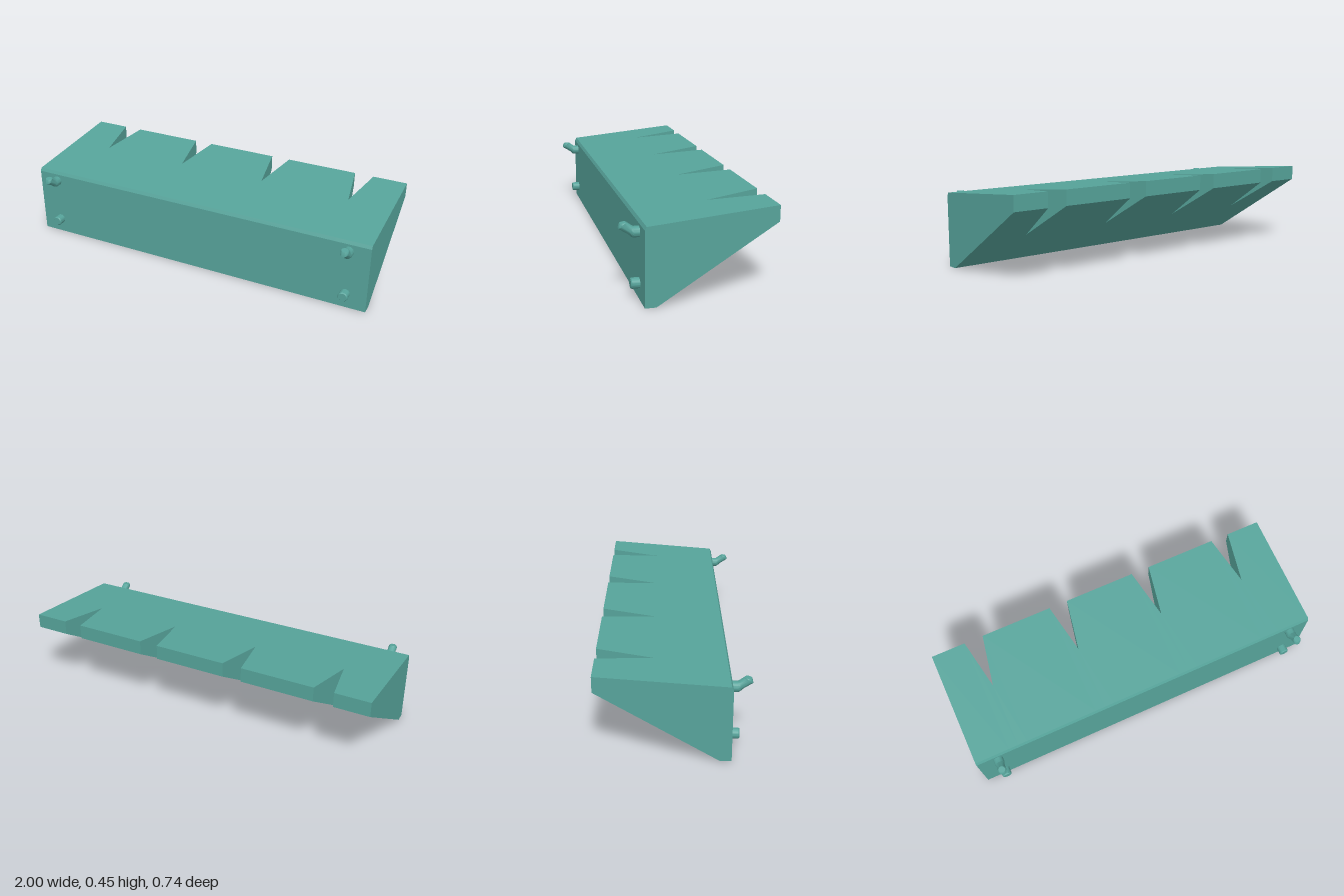
import * as THREE from 'three';
import { toCreasedNormals } from 'three/addons/utils/BufferGeometryUtils.js';

const material = new THREE.MeshStandardMaterial({ color: 0x56a39a });

// Joins a row of convex rings (counter-clockwise about the row's direction) and caps both ends
function loft(rings) {
  const positions = [];
  const tri = (...pts) => pts.forEach((p) => positions.push(...p));
  const n = rings[0].length;
  for (let i = 0; i < rings.length - 1; i++) {
    for (let j = 0; j < n; j++) {
      const k = (j + 1) % n;
      const a = rings[i][j], b = rings[i][k], c = rings[i + 1][k], d = rings[i + 1][j];
      tri(a, b, c);
      tri(a, c, d);
    }
  }
  const first = rings[0], last = rings[rings.length - 1];
  for (let j = 1; j < n - 1; j++) {
    tri(first[0], first[j + 1], first[j]);
    tri(last[0], last[j], last[j + 1]);
  }
  const geometry = new THREE.BufferGeometry();
  geometry.setAttribute('position', new THREE.Float32BufferAttribute(positions, 3));
  geometry.computeVertexNormals();
  return geometry;
}

// Wedge cross-section at x, reaching back to zBack
function wedgeSection(x, zBack) {
  const yUnder = 0.368 * (0.218 - zBack) / 0.59;
  const yTop = 0.392 + 0.056 * (0.264 - zBack) / 0.636;
  return [
    [x, 0, 0.273], [x, 0, 0.218], [x, yUnder, zBack],
    [x, yTop, zBack], [x, 0.392, 0.264], [x, 0.375, 0.273],
  ];
}

// Round peg from rows of [zTop, yTop, zBottom, yBottom, half width in x]
function pegGeometry(rows, sides = 28) {
  const rings = rows.map(([zt, yt, zb, yb, r]) =>
    Array.from({ length: sides }, (_, i) => {
      const t = (i / sides) * Math.PI * 2, s = Math.sin(t) / 2;
      return [r * Math.cos(t), (yt + yb) / 2 + (yt - yb) * s, (zt + zb) / 2 + (zt - zb) * s];
    }));
  return toCreasedNormals(loft(rings), 0.6);
}

export function createModel() {
  const model = new THREE.Group();
  const add = (name, geometry, x = 0) => {
    const mesh = new THREE.Mesh(geometry, material);
    mesh.name = name;
    mesh.position.x = x;
    model.add(mesh);
  };

  // Wedge-shaped shelf with four V notches in its back edge
  const zBack = -0.372, zNotch = -0.09, halfNotch = 0.053;
  const sections = [wedgeSection(-1, zBack)];
  for (const x of [-0.7575, -0.2525, 0.2525, 0.7575]) {
    sections.push(
      wedgeSection(x - halfNotch, zBack),
      wedgeSection(x, zNotch),
      wedgeSection(x + halfNotch, zBack));
  }
  sections.push(wedgeSection(1, zBack));
  add('notchedShelf', loft(sections));

  // Bent hooks above, short straight pegs below
  const hook = pegGeometry([
    [0.27, 0.363, 0.27, 0.309, 0.0265],
    [0.299, 0.363, 0.299, 0.309, 0.0265],
    [0.301, 0.364, 0.309, 0.312, 0.026],
    [0.303, 0.365, 0.317, 0.319, 0.024],
    [0.306, 0.367, 0.325, 0.327, 0.022],
    [0.332, 0.386, 0.372, 0.357, 0.022],
    [0.332, 0.386, 0.371, 0.37, 0.0215],
    [0.332, 0.386, 0.366, 0.382, 0.017],
  ]);
  const peg = pegGeometry([
    [0.27, 0.11, 0.27, 0.057, 0.0265],
    [0.311, 0.11, 0.311, 0.057, 0.0265],
    [0.316, 0.106, 0.316, 0.061, 0.0225],
  ]);
  for (const [side, x] of [['left', 0.885], ['right', -0.885]]) {
    add(side + 'Hook', hook, x);
    add(side + 'Peg', peg, x);
  }
  return model;
}
